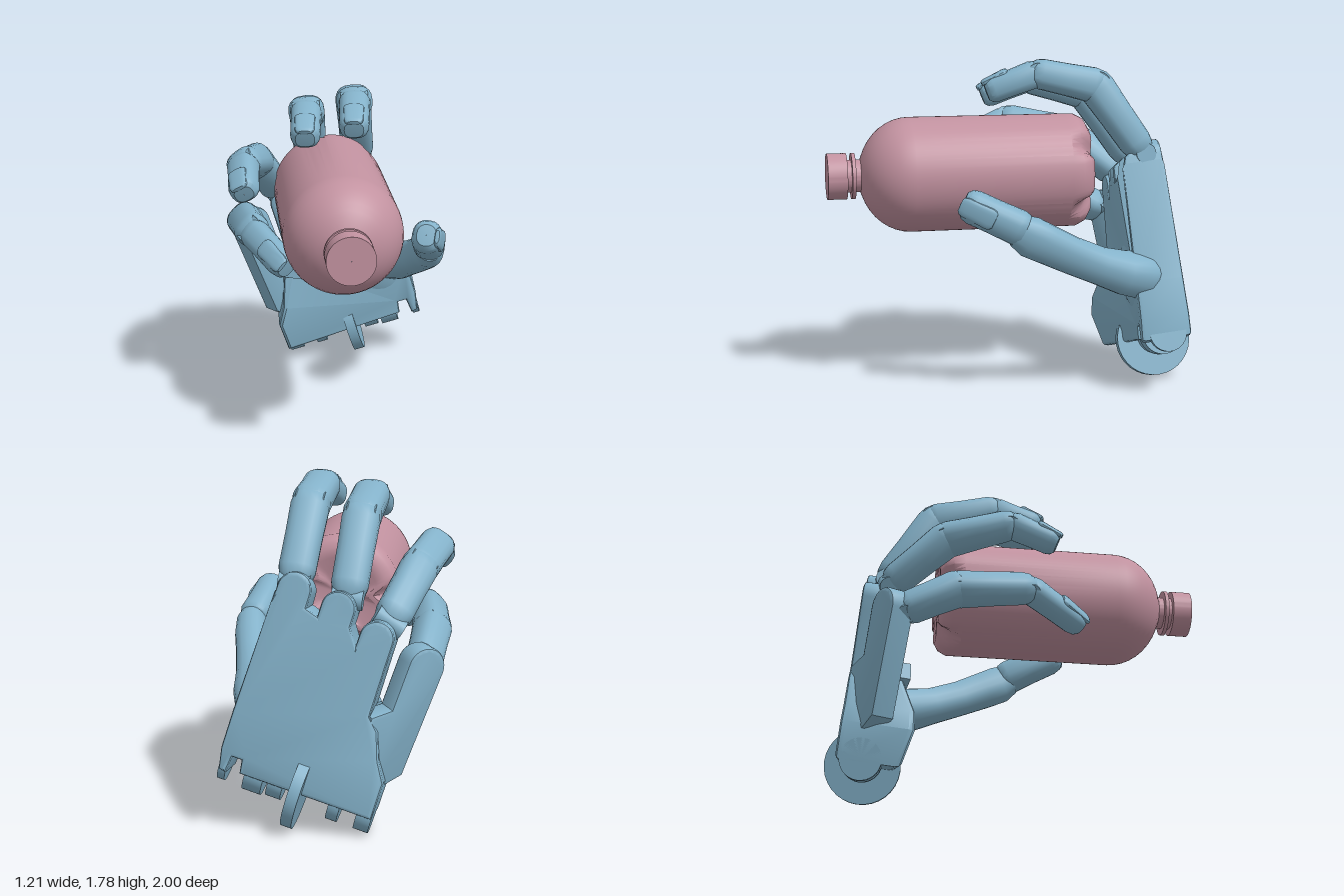
import * as THREE from 'three';
import { toCreasedNormals } from 'three/addons/utils/BufferGeometryUtils.js';

const V = (x, y, z) => new THREE.Vector3(x, y, z);
const clamp = THREE.MathUtils.clamp;
const blue = new THREE.MeshStandardMaterial({ color: 0x84b2ca });
const pink = new THREE.MeshStandardMaterial({ color: 0xc292a0 });

function part(parent, name, geo, mat = blue, crease = 0.6) {
  const mesh = new THREE.Mesh(toCreasedNormals(geo.index ? geo.toNonIndexed() : geo, crease), mat);
  mesh.name = name;
  parent.add(mesh);
  return mesh;
}

// Unit direction from a to b, and the width direction made square to it
const heading = (a, b) => b.clone().sub(a).normalize();
const across = (side, d) => side.clone().addScaledVector(d, -side.dot(d)).normalize();

// Skin through rounded-square rings [centre, half width, half height]
function loft(rings, side, power = 0.75, n = 20) {
  const pos = [], idx = [];
  rings.forEach(([p, rx, ry], i) => {
    const d = heading(rings[Math.max(0, i - 1)][0], rings[Math.min(rings.length - 1, i + 1)][0]);
    const s = across(side, d), up = d.clone().cross(s);
    for (let j = 0; j < n; j++) {
      const t = j / n * Math.PI * 2, c = Math.cos(t), q = Math.sin(t);
      const v = p.clone()
        .addScaledVector(s, rx * Math.sign(c) * Math.abs(c) ** power)
        .addScaledVector(up, ry * Math.sign(q) * Math.abs(q) ** power);
      pos.push(v.x, v.y, v.z);
      if (i) {
        const k = (i - 1) * n, m = (j + 1) % n;
        idx.push(k + j, k + m, k + n + j, k + m, k + n + m, k + n + j);
      }
    }
  });
  const g = new THREE.BufferGeometry();
  g.setAttribute('position', new THREE.Float32BufferAttribute(pos, 3));
  g.setIndex(idx);
  return g;
}

// One straight finger bone with rounded ends
function bone(a, b, [w0, h0], [w1, h1], side, power) {
  const steps = [[-0.01, 0.01], [0, 0.65], [0.06, 0.9], [0.15, 1], [0.5, 0.98], [0.84, 1], [0.94, 0.9], [1, 0.65], [1.01, 0.01]];
  return loft(steps.map(([t, k]) => [a.clone().lerp(b, t), k * (w0 + (w1 - w0) * t), k * (h0 + (h1 - h0) * t)]), side, power);
}

// Nail plate lying on the back of a fingertip
function nail(parent, a, b, w, h, side) {
  const d = heading(a, b), up = d.clone().cross(across(side, d));
  const from = a.clone().lerp(b, 0.5).addScaledVector(up, h), to = a.clone().lerp(b, 1.03).addScaledVector(up, h * 0.78);
  part(parent, 'nail', bone(from, to, [w, 0.022], [w * 0.9, 0.018], side));
}

// Four joints: knuckle, middle joint, end joint, tip
function finger(parent, name, joints, side, k = 1) {
  const g = new THREE.Group();
  g.name = name;
  parent.add(g);
  const [a, b, c, e] = joints;
  const beyond = (p, q, l) => q.clone().addScaledVector(heading(p, q), l);
  const size = (w, h) => [w * k, h * k];
  part(g, 'lowerBone', bone(a, beyond(a, b, 0.06), size(0.095, 0.085), size(0.102, 0.1), side));
  part(g, 'middleBone', bone(beyond(c, b, 0.05), beyond(b, c, 0.04), size(0.102, 0.1), size(0.098, 0.08), side));
  part(g, 'fingertip', bone(beyond(e, c, 0.02), e, size(0.086, 0.078), size(0.08, 0.07), side));
  nail(g, c, e, 0.057 * k, 0.066 * k, side);
  // Hinge pins inside the joints
  [[a, a, b, 0.055, 0.16], [b, a, c, 0.075, 0.15], [c, b, e, 0.055, 0.15]].forEach(([p, from, to, r, l]) => {
    const pin = part(g, 'hingePin', new THREE.CylinderGeometry(r * k, r * k, l * k, 20));
    pin.position.copy(p);
    pin.quaternion.setFromUnitVectors(V(0, 1, 0), across(side, heading(from, to)));
  });
}

function plate(shape, depth, bevel = 0.02) {
  const g = new THREE.ExtrudeGeometry(shape, {
    depth: depth - 2 * bevel, bevelEnabled: true, bevelSize: bevel, bevelThickness: bevel,
    bevelOffset: -bevel, bevelSegments: 2, curveSegments: 8,
  });
  return g.translate(0, 0, bevel);
}

function buildBottle(root) {
  const g = new THREE.Group();
  g.name = 'bottle';
  g.position.set(-0.01, 1.15, 0);
  root.add(g);
  const pts = [[0.001, -0.39], [0.13, -0.4], [0.2, -0.43], [0.25, -0.43], [0.29, -0.405], [0.313, -0.36], [0.313, -0.3], [0.313, 0.55]];
  for (let i = 1; i <= 8; i++) {
    const t = i / 8 * 1.22;
    pts.push([0.313 * Math.cos(t), 0.55 + 0.28 * Math.sin(t)]);
  }
  pts.push([0.088, 0.82], [0.088, 0.85], [0.125, 0.85], [0.125, 0.87], [0.088, 0.87], [0.088, 0.895],
    [0.125, 0.895], [0.125, 1], [0.001, 1]);
  const geo = new THREE.LatheGeometry(pts.map(p => new THREE.Vector2(...p)), 80).rotateX(Math.PI / 2);
  // Five grooves pressed into the base
  const p = geo.attributes.position;
  for (let i = 0; i < p.count; i++) {
    const z = p.getZ(i);
    if (z > -0.31) continue;
    const f = Math.max(0, -Math.sin(5 * Math.atan2(p.getX(i), p.getY(i)))) ** 2;
    const k = 1 - 0.3 * f * Math.min(1, (-0.3 - z) / 0.11);
    p.setXY(i, p.getX(i) * k, p.getY(i) * k);
  }
  part(g, 'bottleBody', geo, pink, 0.7);
}

function buildPalm(root) {
  const g = new THREE.Group();
  g.name = 'palm';
  g.position.set(0.18, 0.22, -0.92);
  g.rotation.set(0.095, -0.07, 0.305, 'ZXY');
  root.add(g);

  // Outline with three knuckle lobes on top
  const s = new THREE.Shape();
  s.moveTo(-0.42, 0.0);
  [[0.29, 0], [0.3, 0.07], [0.35, 0.07], [0.36, -0.02], [0.4, -0.01], [0.42, 0.1], [0.42, 0.3], [0.4, 0.95]]
    .forEach(q => s.lineTo(...q));
  [[0.31, 0.985], [0.07, 0.965], [-0.16, 0.885]].forEach(([x, y]) => {
    s.lineTo(x + 0.088, y - 0.07);
    s.absarc(x, y, 0.088, 0, Math.PI);
    s.lineTo(x - 0.088, y - 0.07);
  });
  [[-0.25, 0.5], [-0.31, 0.44], [-0.36, 0.3], [-0.42, 0.2]].forEach(q => s.lineTo(...q));
  const geo = plate(s, 0.24);
  // Thicker toward the wrist, heel edge raised, knuckle lobes sloping away to the back
  const p = geo.attributes.position;
  for (let i = 0; i < p.count; i++) {
    const x = p.getX(i), y = p.getY(i), z = p.getZ(i);
    const lobe = 1 - 6 * Math.max(0, y - 0.97);
    const ridge = y < 0.25 ? 0.06 + 0.28 * Math.max(0, y) : 0.13 * clamp((0.55 - y) / 0.3, 0, 1);
    const heel = ridge * clamp((-0.1 - x) / 0.25, 0, 1) * z / 0.24;
    p.setZ(i, z * (1.16 - 0.2 * y) * lobe + heel);
  }
  part(g, 'palmPlate', geo);

  // Low cushion beneath the thumb
  const cushion = part(g, 'thumbCushion', new THREE.SphereGeometry(1, 28, 16));
  cushion.position.set(0.22, 0.33, 0.22);
  cushion.scale.set(0.19, 0.24, 0.065);
  cushion.rotation.z = 0.5;

  // Wrist hinge tabs and the large round fin
  [[-0.38, 0.08, 0.11], [-0.22, 0.06, 0.11], [-0.015, 0.06, 0.205], [0.1, 0.08, 0.1], [0.215, 0.1, 0.11], [0.385, 0.04, 0.1]]
    .forEach(([x, w, r]) => {
      const tab = part(g, r > 0.15 ? 'wristFin' : 'wristTab', new THREE.CylinderGeometry(r, r, w, 32));
      tab.rotation.z = Math.PI / 2;
      tab.position.set(x, r > 0.15 ? 0 : 0.015, 0.13);
    });

  // Little finger's plate, folded forward along the edge of the palm
  const side = new THREE.Shape();
  [[-0.1, 0.06], [0.02, 0.1], [0.02, 0.46], [-0.08, 0.52], [-0.09, 0.77]].forEach((q, i) => i ? side.lineTo(...q) : side.moveTo(...q));
  side.absarc(-0.195, 0.77, 0.105, 0, Math.PI);
  side.lineTo(-0.26, 0.2);
  const flap = part(g, 'sidePlate', plate(side, 0.14));
  flap.position.set(-0.28, 0.04, 0.01);
  flap.rotation.y = 0.6;

  // Latch joining the side plate to the palm
  const latch = part(g, 'latch', new THREE.BoxGeometry(0.22, 0.1, 0.1));
  latch.position.set(-0.19, 0.46, 0.25);
  latch.rotation.set(0, 0.2, -0.52);
}

function buildThumb(root) {
  const g = new THREE.Group();
  g.name = 'thumb';
  root.add(g);
  const side = V(-0.2, -0.8, 0.43);
  const rings = [
    [V(0.34, 0.61, -0.77), 0.01, 0.01], [V(0.35, 0.61, -0.75), 0.09, 0.1], [V(0.38, 0.62, -0.66), 0.125, 0.13],
    [V(0.42, 0.65, -0.54), 0.115, 0.12], [V(0.455, 0.7, -0.4), 0.1, 0.095], [V(0.49, 0.77, -0.24), 0.1, 0.085],
    [V(0.515, 0.84, -0.1), 0.105, 0.09], [V(0.525, 0.885, -0.01), 0.11, 0.085], [V(0.52, 0.92, 0.05), 0.09, 0.07],
    [V(0.52, 0.925, 0.06), 0.01, 0.01],
  ];
  part(g, 'thumbBone', loft(rings, side, 0.85));
  const a = V(0.525, 0.91, 0.0), b = V(0.455, 1.065, 0.33);
  part(g, 'thumbTip', bone(a, b, [0.095, 0.09], [0.09, 0.08], side, 0.85));
  nail(g, a, b, 0.06, 0.076, side);
}

export function createModel() {
  const root = new THREE.Group();
  root.name = 'handHoldingBottle';
  buildBottle(root);
  buildPalm(root);
  buildThumb(root);
  finger(root, 'indexFinger', [V(0.19, 1.26, -0.71), V(0.14, 1.63, -0.45), V(0.115, 1.7, -0.13), V(0.085, 1.6, 0.14)], V(1, 0.08, 0));
  finger(root, 'middleFinger', [V(-0.08, 1.19, -0.72), V(-0.125, 1.57, -0.46), V(-0.15, 1.65, -0.13), V(-0.175, 1.55, 0.12)], V(1, 0.08, 0));
  finger(root, 'ringFinger', [V(-0.29, 1.07, -0.71), V(-0.42, 1.3, -0.42), V(-0.5, 1.375, -0.08), V(-0.505, 1.27, 0.17)], V(0.81, 0.58, 0));
  finger(root, 'littleFinger', [V(-0.46, 0.84, -0.65), V(-0.49, 0.97, -0.37), V(-0.46, 1.02, 0.02), V(-0.29, 0.9, 0.33)], V(0.65, 0.75, 0), 0.97);
  return root;
}
